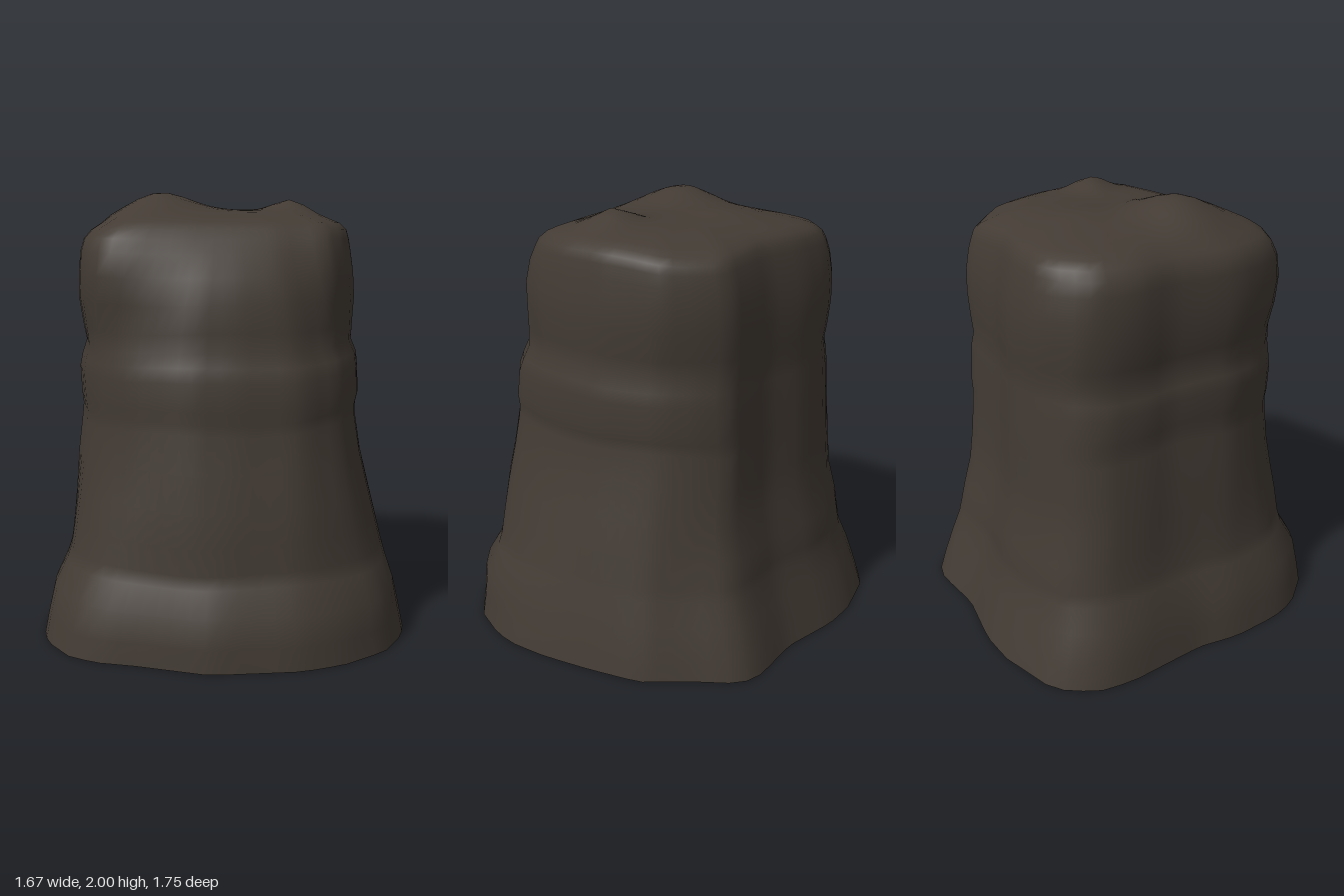
import * as THREE from 'three';

const SIDES = 72;

// Plan outlines [x, z] at the foot, the waist and the crown
const foot = [[-.84,.28],[-.82,.43],[-.71,.62],[-.57,.7],[-.46,.73],[-.13,.865],[.26,.865],[.45,.81],[.66,.68],[.78,.5],[.82,.37],[.835,.2],[.83,-.02],[.81,-.28],[.7,-.48],[.61,-.68],[.5,-.73],[.23,-.75],[-.05,-.85],[-.23,-.875],[-.54,-.845],[-.68,-.71],[-.73,-.55],[-.76,-.15],[-.82,.04]];
const waist = [[.64,0],[.62,.2],[.58,.36],[.47,.55],[.28,.68],[0,.7],[-.2,.69],[-.43,.57],[-.57,.44],[-.63,.28],[-.65,.1],[-.61,-.08],[-.58,-.2],[-.575,-.35],[-.54,-.52],[-.45,-.63],[-.27,-.685],[-.05,-.66],[.15,-.58],[.45,-.53],[.55,-.42],[.62,-.27]];
const crown = [[.62,0],[.58,.2],[.52,.34],[.43,.43],[.2,.45],[-.2,.45],[-.5,.44],[-.6,.37],[-.64,.24],[-.65,.1],[-.6,-.08],[-.575,-.2],[-.57,-.38],[-.5,-.57],[-.36,-.67],[-.25,-.69],[-.05,-.65],[.15,-.57],[.45,-.52],[.55,-.4],[.62,-.28]];

// Wall levels: y, then reach to -x, +x, +z, -z
const levels = [
  [0, .84, .835, .875, .872], [.1, .82, .815, .868, .84], [.23, .79, .785, .855, .795],
  [.34, .735, .758, .79, .757], [.4, .715, .745, .78, .75], [.52, .7, .72, .772, .735],
  [.66, .687, .69, .757, .7], [.82, .675, .655, .73, .69], [.98, .655, .632, .705, .685],
  [1.03, .65, .632, .7, .682], [1.08, .656, .645, .703, .68], [1.2, .662, .64, .697, .672],
  [1.26, .65, .636, .675, .668], [1.32, .63, .612, .652, .664], [1.4, .645, .618, .645, .675],
  [1.52, .662, .628, .632, .685], [1.63, .66, .624, .59, .684], [1.73, .652, .613, .53, .668],
  [1.79, .635, .605, .49, .65], [1.83, .6, .595, .465, .635], [1.86, .555, .565, .43, .605],
];

// Local swellings and hollows of the wall: angle, y, spread, height, amount
const swellings = [
  [45, .25, 18, .1, .015], [50, 1.5, 22, .3, -.025], [135, 1.32, 20, .07, .025],
  [135, .78, 20, .2, -.018], [-38, .5, 18, .25, -.02], [-38, 1.2, 18, .5, -.015],
  [225, 1.4, 20, .35, -.015],
];

// Distance from the axis to an outline along each spoke
function spokes(outline) {
  return Array.from({ length: SIDES }, (_, i) => {
    const a = (i / SIDES) * Math.PI * 2, c = Math.cos(a), s = Math.sin(a);
    let r = 0;
    outline.forEach(([x1, z1], k) => {
      const [x2, z2] = outline[(k + 1) % outline.length];
      const d1 = z1 * c - x1 * s, d2 = z2 * c - x2 * s;
      if (d1 * d2 > 0 || d1 === d2) return;
      const t = d1 / (d1 - d2);
      r = Math.max(r, (x1 + (x2 - x1) * t) * c + (z1 + (z2 - z1) * t) * s);
    });
    return r;
  });
}

const bump = (x, z, cx, cz, w) => Math.exp(-((x - cx) ** 2 + (z - cz) ** 2) / (w * w));

// Falls from 1 to 0 away from a compass angle in degrees
function near(a, angle, spread) {
  const turn = (((a * 180) / Math.PI - angle + 540) % 360) - 180;
  return Math.exp(-((turn / spread) ** 2));
}

const relief = (a, y) => swellings.reduce((sum, [angle, cy, spread, height, amount]) =>
  sum + amount * near(a, angle, spread) * Math.exp(-(((y - cy) / height) ** 2)), 0);

function rockGeometry() {
  const [f, w, c] = [foot, waist, crown].map(spokes);
  const rings = levels.map(([y, left, right, front, back]) => {
    const t0 = THREE.MathUtils.smoothstep(0, -.25, 1);
    const k = (THREE.MathUtils.smoothstep(y, -.25, 1) - t0) / (1 - t0);
    const u = THREE.MathUtils.smoothstep(y, 1.25, 1.8);
    const loop = f.map((r, i) => {
      const a = (i / SIDES) * Math.PI * 2;
      const radius = THREE.MathUtils.lerp(THREE.MathUtils.lerp(r, w[i], k), c[i], u) + relief(a, y);
      return [radius * Math.cos(a), radius * Math.sin(a), a];
    });
    const xs = loop.map((p) => p[0]), zs = loop.map((p) => p[1]);
    const sx = [left / -Math.min(...xs), right / Math.max(...xs)];
    const sz = [back / -Math.min(...zs), front / Math.max(...zs)];
    // Strata waver gently around the rock, and one rim corner sags
    const sway = .014 * Math.sin(Math.PI * Math.min(y / 1.86, 1));
    const sag = .035 * THREE.MathUtils.smoothstep(y, 1.6, 1.86);
    return loop.map(([x, z, a]) => [
      x * sx[x > 0 ? 1 : 0],
      y + sway * (Math.sin(2 * a + 1) + .6 * Math.sin(5 * a + y * 4)) - sag * near(a, -40, 25),
      z * sz[z > 0 ? 1 : 0],
    ]);
  });

  // Uneven top: shrinking rings over a plateau with two knolls and a low ridge
  const rim = rings[rings.length - 1];
  for (const s of [.92, .82, .7, .58, .46, .34, .22, .1, .001]) {
    rings.push(rim.map(([x, y, z]) => {
      const px = x * s, pz = z * s;
      const knolls = .083 * bump(px, pz, -.29, .09, .19) + .055 * bump(px, pz, .31, .12, .1)
        + .02 * bump(px, pz, -.05, -.25, .17);
      return [px, 1.86 + (y - 1.86) * s ** 4 + .058 * (1 - s ** 4) + knolls, pz];
    }));
  }

  const index = [];
  for (let j = 0; j < rings.length - 1; j++) {
    for (let i = 0; i < SIDES; i++) {
      const n = (i + 1) % SIDES;
      const a = j * SIDES + i, b = j * SIDES + n, d = a + SIDES, e = b + SIDES;
      index.push(a, d, b, b, d, e);
    }
  }
  const geometry = new THREE.BufferGeometry();
  geometry.setAttribute('position', new THREE.Float32BufferAttribute(rings.flat(2), 3));
  geometry.setIndex(index);
  geometry.computeVertexNormals();
  return geometry;
}

export function createModel() {
  const stone = new THREE.MeshStandardMaterial({ color: 0x433b34, side: THREE.DoubleSide });
  stone.name = 'dark brown stone';

  // Hollow rock shell, open underneath
  const rock = new THREE.Mesh(rockGeometry(), stone);
  rock.name = 'rock';

  const model = new THREE.Group();
  model.name = 'rockPillar';
  model.add(rock);
  return model;
}
